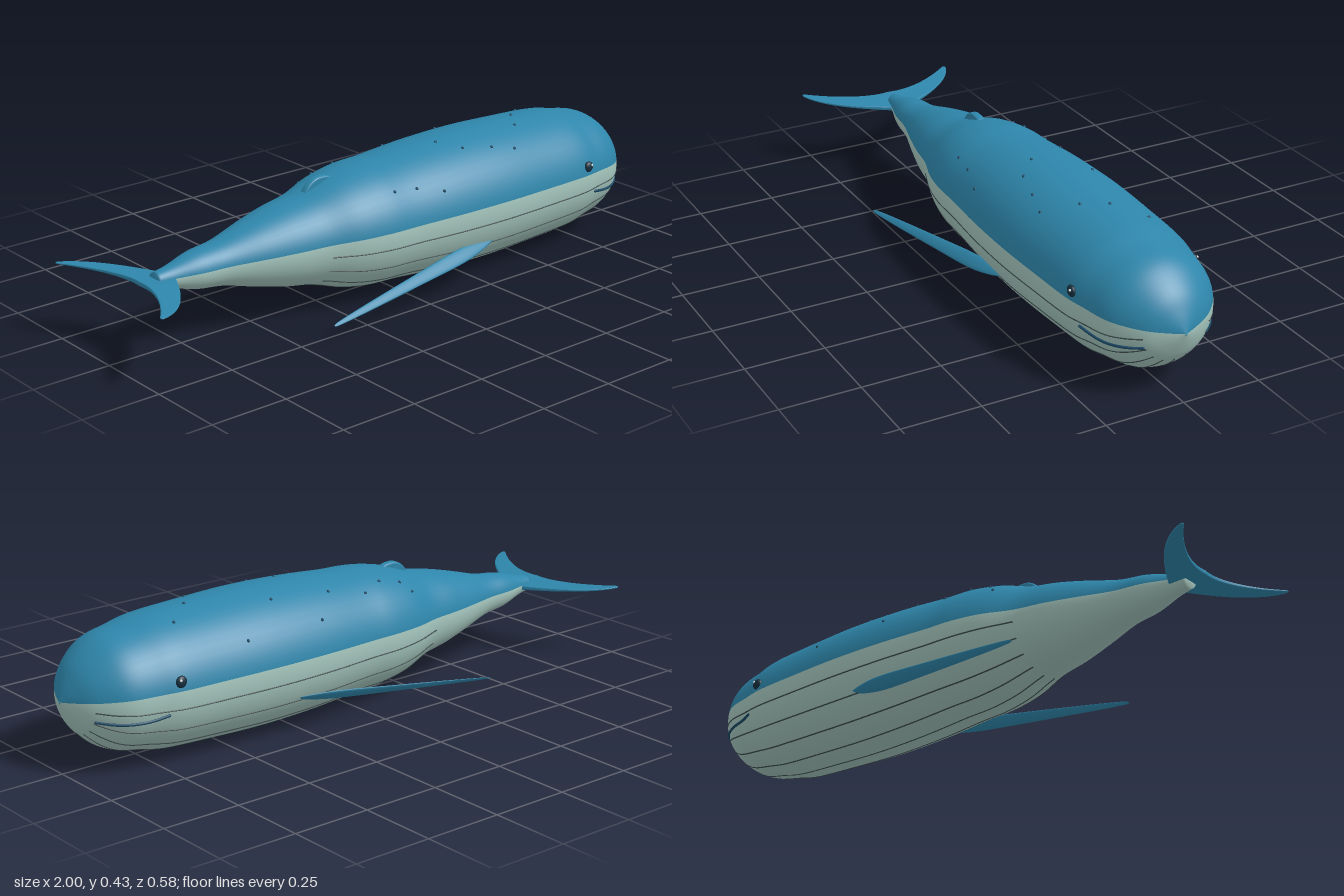
import * as THREE from 'three';

const mat = (name, hex) => Object.assign(new THREE.MeshStandardMaterial({ color: hex }), { name });
const V = (x, y, z) => new THREE.Vector3(x, y, z);

// Body half-width along its length, from tail stock to snout
const CY = 0.22, FLAT = 0.957;
const profile = new THREE.SplineCurve([
  [-0.835, 0.026], [-0.78, 0.037], [-0.7, 0.06], [-0.61, 0.073], [-0.5, 0.105], [-0.4, 0.131],
  [-0.3, 0.15], [-0.2, 0.184], [-0.1, 0.202], [0, 0.207], [0.17, 0.22], [0.36, 0.225],
  [0.55, 0.219], [0.7, 0.211], [0.78, 0.195], [0.85, 0.18], [0.9, 0.153], [0.95, 0.105],
  [0.98, 0.052], [0.998, 0.006],
].map(([x, r]) => new THREE.Vector2(x, r))).getPoints(95);

function radiusAt(x) {
  const i = Math.max(1, profile.findIndex(p => p.x >= x));
  const a = profile[i - 1], b = profile[i];
  return a.y + (b.y - a.y) * (x - a.x) / (b.x - a.x);
}

// Point on the skin at length x and angle a around the body
function skin(x, a, lift = 0) {
  const r = radiusAt(x) + lift;
  return V(x, CY + r * FLAT * Math.sin(a), r * Math.cos(a));
}

// Closed loft through elliptical rings {c, u, v}; inGroup picks the material per segment
function loft(rings, seg, inGroup) {
  const pos = [], idx = [[], []];
  for (const { c, u, v } of rings) for (let j = 0; j < seg; j++) {
    const a = j / seg * Math.PI * 2;
    const p = c.clone().addScaledVector(u, Math.cos(a)).addScaledVector(v, Math.sin(a));
    pos.push(p.x, p.y, p.z);
  }
  for (let i = 0; i < rings.length - 1; i++) for (let j = 0; j < seg; j++) {
    const k = (j + 1) % seg, a = i * seg + j, d = i * seg + k;
    idx[inGroup ? inGroup(j) : 0].push(a, a + seg, d + seg, a, d + seg, d);
  }
  const g = new THREE.BufferGeometry();
  g.setAttribute('position', new THREE.Float32BufferAttribute(pos, 3));
  g.setIndex([...idx[0], ...idx[1]]);
  if (inGroup) {
    g.addGroup(0, idx[0].length, 0);
    g.addGroup(idx[0].length, idx[1].length, 1);
  }
  g.computeVertexNormals();
  return g;
}

export function createModel() {
  const model = new THREE.Group();
  const blue = mat('ocean blue', 0x2e86ab);
  const belly = mat('pale belly', 0xa3c4bc);
  const groove = mat('groove grey', 0x3c4c4c);
  const dark = mat('deep blue', 0x1b4965);
  const eyeDark = mat('eye dark', 0x17303f);
  const white = mat('eye glint', 0xffffff);
  const add = (name, geo, m, parent = model) => {
    const mesh = new THREE.Mesh(geo, m);
    mesh.name = name;
    parent.add(mesh);
    return mesh;
  };

  // Body, blue above and pale below
  const ring = (x, r) => ({ c: V(x, CY, 0), u: V(0, 0, r), v: V(0, r * FLAT, 0) });
  const rings = profile.map(p => ring(p.x, p.y));
  rings.unshift(ring(-0.836, 0.0005));
  rings.push(ring(1, 0.0005));
  add('body', loft(rings, 48, j => (j >= 1 && j < 23 ? 0 : 1)), [blue, belly]);
  add('snoutTip', new THREE.SphereGeometry(0.007, 12, 8), blue).position.set(0.993, 0.219, 0);

  // Throat grooves
  const grooves = new THREE.Group();
  grooves.name = 'throatGrooves';
  model.add(grooves);
  for (let k = -4; k <= 4; k++) {
    const a = -Math.PI / 2 + k * 0.357, pts = [];
    for (let i = 0; i <= 40; i++) pts.push(skin(-0.3 + 1.248 * i / 40, a, -0.0008));
    add('groove', new THREE.TubeGeometry(new THREE.CatmullRomCurve3(pts), 80, 0.0026, 6), groove, grooves);
  }

  for (const s of [1, -1]) {
    const side = s > 0 ? 'left' : 'right';
    const at = (x, a, lift) => { const p = skin(x, a, lift); p.z *= s; return p; };

    // Eye with glint
    const eye = add(side + 'Eye', new THREE.SphereGeometry(0.018, 20, 14), eyeDark);
    eye.position.copy(at(0.72, 0.27, 0.0));
    eye.scale.z = 0.6;
    add(side + 'EyeGlint', new THREE.SphereGeometry(0.004, 10, 8), white)
      .position.copy(eye.position).add(V(0.007, 0.007, s * 0.009));

    // Mouth line
    const mouth = [[0.76, 0.18], [0.8, 0.172], [0.85, 0.169], [0.9, 0.17], [0.945, 0.176]].map(([x, y]) =>
      at(x, Math.asin((y - CY) / (radiusAt(x) * FLAT)), 0.001));
    add(side + 'Mouth', new THREE.TubeGeometry(new THREE.CatmullRomCurve3(mouth), 30, 0.0045, 8), dark);
    for (const p of [mouth[0], mouth[4]])
      add(side + 'MouthEnd', new THREE.SphereGeometry(0.0045, 8, 6), dark).position.copy(p);

    // Long flipper, swept back and down
    const tip = V(-0.405, 0.055, s * 0.286), root = V(0.31, 0.126, s * 0.196);
    const chord = V(0, 0.7, -0.7);
    const across = root.clone().sub(tip).normalize().cross(chord).normalize();
    const widths = new THREE.SplineCurve([[0, 0.001], [0.03, 0.006], [0.2, 0.012], [0.5, 0.019],
      [0.78, 0.024], [0.92, 0.015], [1, 0.001]].map(p => new THREE.Vector2(...p))).getPoints(36);
    add(side + 'Flipper', loft(widths.map(({ x: t, y: w }) => ({
      c: tip.clone().lerp(root, t),
      u: across.clone().multiplyScalar(w * 0.22),
      v: chord.clone().multiplyScalar(w * 1.0),
    })), 16), blue);
  }

  // Tail flukes: a swept crescent, thinner toward the tips
  const f = new THREE.Shape();
  f.moveTo(-0.765, 0);
  f.bezierCurveTo(-0.81, 0.09, -0.88, 0.235, -0.985, 0.272);
  f.quadraticCurveTo(-1.0, 0.275, -0.995, 0.262);
  f.bezierCurveTo(-0.93, 0.18, -0.88, 0.08, -0.89, 0);
  f.bezierCurveTo(-0.88, -0.08, -0.93, -0.18, -0.995, -0.262);
  f.quadraticCurveTo(-1.0, -0.275, -0.985, -0.272);
  f.bezierCurveTo(-0.88, -0.235, -0.81, -0.09, -0.765, 0);
  const fluke = new THREE.ExtrudeGeometry(f, {
    depth: 0.006, bevelThickness: 0.005, bevelSize: 0.004, bevelOffset: -0.004, bevelSegments: 3, curveSegments: 20,
  });
  fluke.translate(0, 0, -0.003).rotateX(Math.PI / 2);
  const fp = fluke.attributes.position;
  for (let i = 0; i < fp.count; i++) {
    const thin = 1 - 0.7 * Math.abs(fp.getZ(i)) / 0.275;
    fp.setY(i, fp.getY(i) * thin + 0.216 - 0.085 * (fp.getX(i) + 0.77));
  }
  fluke.computeVertexNormals();
  add('tailFlukes', fluke, blue);

  // Small hooked dorsal fin
  const d = new THREE.Shape();
  d.moveTo(-0.305, 0.34);
  d.bezierCurveTo(-0.295, 0.375, -0.27, 0.402, -0.235, 0.404);
  d.quadraticCurveTo(-0.2, 0.404, -0.188, 0.392);
  d.lineTo(-0.185, 0.35);
  const dorsal = new THREE.ExtrudeGeometry(d, {
    depth: 0.008, bevelThickness: 0.009, bevelSize: 0.006, bevelOffset: -0.006, bevelSegments: 4,
  });
  add('dorsalFin', dorsal.translate(0, 0, -0.004), blue);

  // Scattered barnacles on the back: [x, z]
  const spots = [[-0.06, 0.15], [0.02, 0.16], [0.11, 0.185], [0.26, 0.1], [0.36, 0.125], [0.44, 0.145],
    [-0.21, -0.13], [-0.18, -0.105], [-0.1, -0.1], [-0.02, -0.13], [0.11, -0.11], [0.19, -0.18],
    [0.32, -0.1], [0.47, -0.185], [0.57, -0.01], [0.66, -0.085], [0.2, 0.04], [0.52, 0.06]];
  const barnacles = new THREE.Group();
  barnacles.name = 'barnacles';
  model.add(barnacles);
  for (const [x, z] of spots)
    add('barnacle', new THREE.SphereGeometry(0.005, 8, 6), dark, barnacles)
      .position.copy(skin(x, Math.acos(z / radiusAt(x))));

  return model;
}
